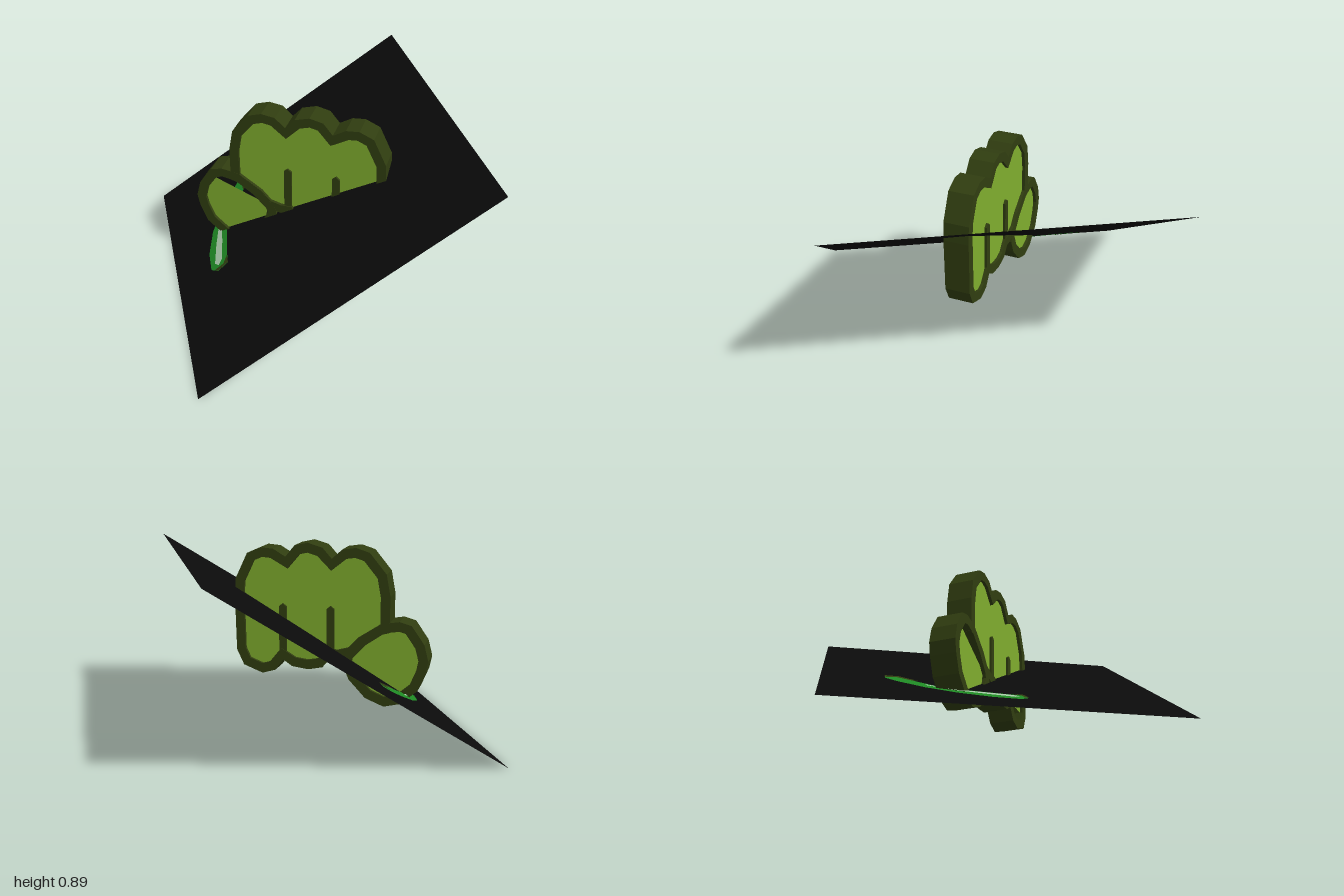
import * as THREE from 'three';

const mat = (name, color, side = THREE.FrontSide) => {
  const m = new THREE.MeshStandardMaterial({ color, side });
  m.name = name;
  return m;
};

// Height of the tilted sheet at a ground position
const sheetY = (x, z) => 0.424 + 0.568 * x - 0.329 * z;

const toShape = (pts) => new THREE.Shape(pts.map(([x, y]) => new THREE.Vector2(x, y)));

// Shrinks a counter-clockwise outline by w
function inset(pts, w) {
  const n = pts.length;
  return pts.map((p, i) => {
    const a = pts[(i + n - 1) % n], b = pts[(i + 1) % n];
    const n1 = new THREE.Vector2(a[1] - p[1], p[0] - a[0]).normalize();
    const n2 = new THREE.Vector2(p[1] - b[1], b[0] - p[0]).normalize();
    const m = n1.clone().add(n2).normalize();
    const d = w * Math.min(1.25, 1 / Math.max(0.3, m.dot(n1)));
    return [p[0] + m.x * d, p[1] + m.y * d];
  });
}

// Outlines, counter-clockwise seen from the front
const FIST = [
  [-0.19, 0.365], [-0.12, 0.345], [-0.08, 0.345], [-0.04, 0.3], [0.03, 0.285], [0.11, 0.295],
  [0.155, 0.325], [0.195, 0.27], [0.26, 0.25], [0.355, 0.285], [0.39, 0.36],
  [0.395, 0.62], [0.39, 0.71], [0.33, 0.835], [0.262, 0.865], [0.2, 0.86], [0.14, 0.825],
  [0.095, 0.88], [0.03, 0.895], [-0.04, 0.875], [-0.085, 0.825], [-0.135, 0.87],
  [-0.2, 0.88], [-0.265, 0.86], [-0.345, 0.763], [-0.364, 0.66], [-0.364, 0.49], [-0.33, 0.48], [-0.24, 0.42],
];
const THUMB = [
  [-0.5, 0.22], [-0.42, 0.15], [-0.34, 0.13], [-0.25, 0.165], [-0.17, 0.25], [-0.135, 0.33],
  [-0.145, 0.377], [-0.22, 0.458], [-0.323, 0.53], [-0.41, 0.545], [-0.466, 0.53],
  [-0.527, 0.443], [-0.547, 0.366], [-0.535, 0.305],
];
const THUMB_PAD = [
  [-0.46, 0.24], [-0.4, 0.19], [-0.33, 0.175], [-0.26, 0.21], [-0.2, 0.28], [-0.185, 0.35],
  [-0.22, 0.385], [-0.45, 0.478], [-0.49, 0.44], [-0.505, 0.37], [-0.495, 0.31],
];

// Curved pod and its markings as x, z positions on the sheet
const POD = [
  [-0.393, -0.343], [-0.37, -0.29], [-0.4, -0.18], [-0.425, -0.07], [-0.4, 0.06], [-0.35, 0.195],
  [-0.314, 0.28], [-0.35, 0.317], [-0.393, 0.3], [-0.446, 0.195], [-0.483, 0.05],
  [-0.488, -0.1], [-0.46, -0.25], [-0.43, -0.327],
];
const STRIPE = [
  [-0.445, -0.12], [-0.44, 0.03], [-0.4, 0.13], [-0.355, 0.25], [-0.36, 0.285],
  [-0.385, 0.27], [-0.425, 0.15], [-0.455, 0.04], [-0.458, -0.11],
];
const TIPS = [
  [[-0.393, -0.345], [-0.366, -0.29], [-0.397, -0.18], [-0.412, -0.2], [-0.392, -0.29], [-0.425, -0.32], [-0.43, -0.33]],
  [[-0.335, 0.235], [-0.312, 0.28], [-0.35, 0.32], [-0.37, 0.31], [-0.336, 0.283]],
];

export function createModel() {
  const model = new THREE.Group();
  const black = mat('black', 0x0b0b0b, THREE.DoubleSide);
  const olive = mat('dark olive', 0x303d10);
  const lime = mat('lime green', 0x80ad2e);
  const green = mat('leaf green', 0x1f8a24, THREE.DoubleSide);
  const pale = mat('pale green', 0xa8c8a8, THREE.DoubleSide);
  const oliveThin = mat('pod tip olive', 0x303d10, THREE.DoubleSide);

  const add = (name, geometry, material, parent = model) => {
    const mesh = new THREE.Mesh(geometry, material);
    mesh.name = name;
    parent.add(mesh);
    return mesh;
  };

  // Tilted square sheet
  const sheet = new THREE.PlaneGeometry(1, 1);
  const corners = [[-0.95, 0, -0.35], [0.17, 0.85, -1], [-0.18, 0, 1], [0.95, 0.85, 0.35]];
  corners.forEach((c, i) => sheet.attributes.position.setXYZ(i, ...c));
  sheet.computeVertexNormals();
  add('tiltedSheet', sheet, black);

  // Thick raised rims
  const hand = new THREE.Group();
  hand.name = 'hand';
  model.add(hand);
  const extrude = (shape, half) =>
    new THREE.ExtrudeGeometry(shape, { depth: half * 2, bevelEnabled: false }).translate(0, 0, -half);
  const rim = (name, pts, half) => {
    const shape = toShape(pts);
    shape.holes.push(toShape(inset(pts, 0.045)));
    add(name, extrude(shape, half), olive, hand);
  };
  rim('fistRim', FIST, 0.06);
  rim('thumbRim', THUMB, 0.0605);

  // Recessed faces; the front ones stop short of the rim
  const face = (name, pts, z) => {
    const g = new THREE.ShapeGeometry(toShape(pts));
    if (z < 0) g.rotateY(Math.PI).scale(1, 1, 1);
    g.translate(0, 0, z);
    add(name, g, lime, hand);
  };
  const mirrored = (pts) => pts.map(([x, y]) => [-x, y]);
  const fistPad = inset(FIST, 0.043);
  face('fistFront', fistPad.map(([x, y]) => [x, x > 0.15 ? Math.max(y, 0.37) : y]), 0.045);
  face('thumbFront', THUMB_PAD, 0.045);
  face('fistBack', mirrored(fistPad), -0.045);
  face('thumbBack', mirrored(inset(THUMB, 0.043)), -0.045);

  // Grooves between the fingers
  for (const [x, bottom] of [[-0.078, 0.355], [0.157, 0.33]]) {
    const bar = toShape([[x - 0.018, bottom], [x + 0.018, bottom], [x + 0.018, 0.585], [x, 0.6], [x - 0.018, 0.585]]);
    add('fingerGroove', extrude(bar, 0.056), olive, hand);
  }

  // Flat pod painted on both sides of the sheet
  const decal = (name, pts, lift, material) => {
    const g = new THREE.ShapeGeometry(toShape(pts.map(([x, z]) => [x, -z])));
    const p = g.attributes.position;
    for (let i = 0; i < p.count; i++) {
      const x = p.getX(i), z = -p.getY(i);
      p.setXYZ(i, x, sheetY(x, z) + lift, z);
    }
    g.computeVertexNormals();
    add(name, g, material);
  };
  for (const side of [1, -1]) {
    decal('pod', POD, side * 0.006, green);
    decal('podStripe', STRIPE, side * 0.01, pale);
    TIPS.forEach((tip) => decal('podTip', tip, side * 0.01, oliveThin));
  }
  return model;
}
